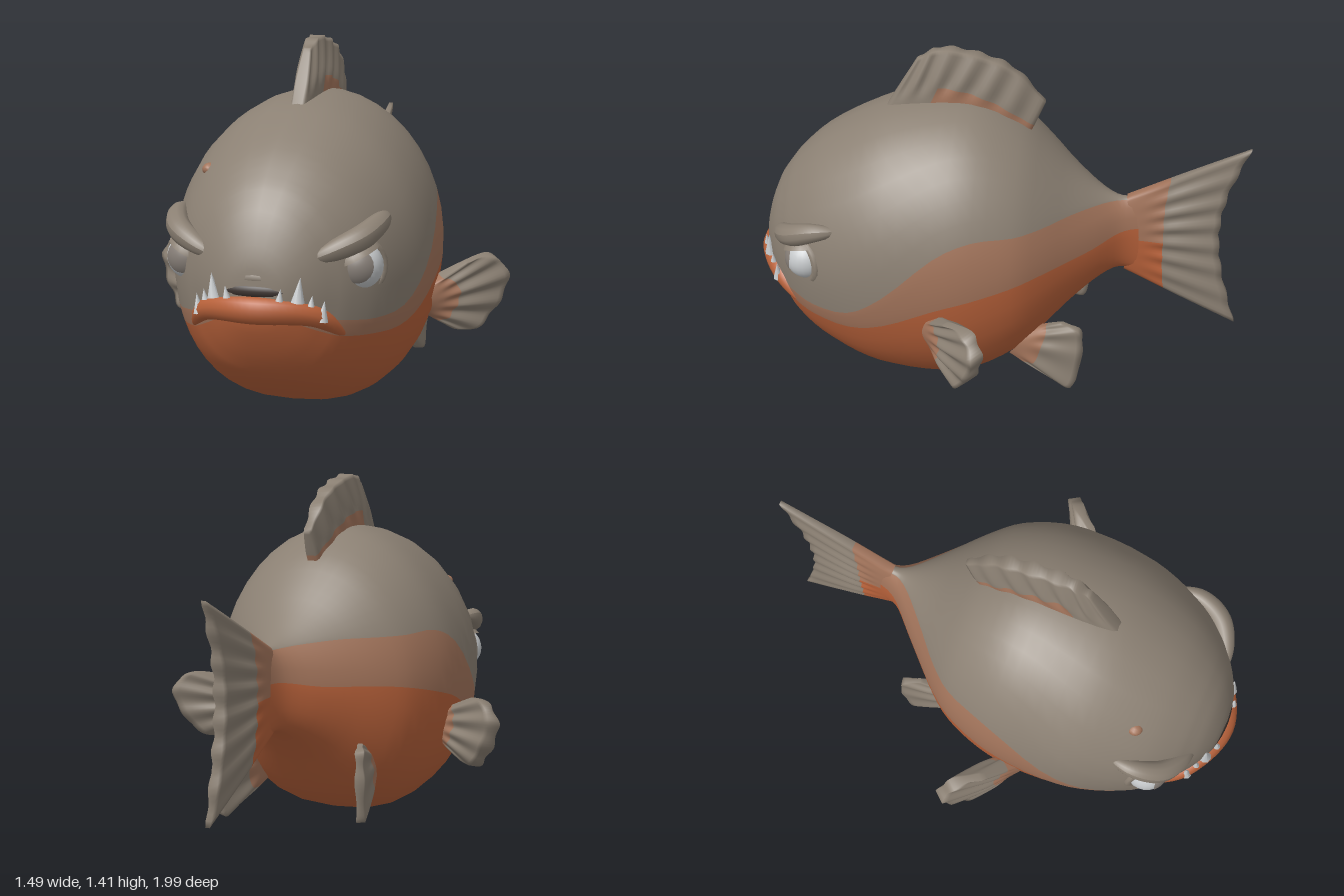
import * as THREE from 'three';

const mat = (name, color) => {
  const m = new THREE.MeshStandardMaterial({ color });
  m.name = name;
  return m;
};
const V = (x, y, z) => new THREE.Vector3(x, y, z);

export function createModel() {
  const grey = mat('stone grey skin', 0x8b8073);
  const band = mat('dusty brown band', 0xa2745b);
  const orange = mat('rust orange belly', 0xb7613a);
  const white = mat('pale tooth and eye', 0xc6c9cb);
  const iris = mat('dull iris', 0x857d76);
  const dark = mat('dark mouth', 0x3b322e);

  const fish = new THREE.Group();
  fish.name = 'fish';
  const add = (name, geo, material, parent = fish) => {
    const m = new THREE.Mesh(geo, material);
    m.name = name;
    parent.add(m);
    return m;
  };

  // Closed loops joined row by row; colourOf(row, column) picks the material slot
  const loft = (rows, colourOf, quad) => {
    const n = rows[0].length, pos = [], lists = [[], [], []];
    rows.forEach(r => r.forEach(p => pos.push(p.x, p.y, p.z)));
    for (let i = 0; i < rows.length - 1; i++) for (let j = 0; j < n; j++) {
      const a = i * n + j, b = i * n + (j + 1) % n;
      lists[colourOf(i, j)].push(...quad(a, b, a + n, b + n));
    }
    return { pos, lists, n };
  };
  const toGeometry = ({ pos, lists }) => {
    const g = new THREE.BufferGeometry();
    g.setAttribute('position', new THREE.Float32BufferAttribute(pos, 3));
    g.setIndex(lists.flat());
    let start = 0;
    lists.forEach((l, k) => { g.addGroup(start, l.length, k); start += l.length; });
    g.computeVertexNormals();
    return g;
  };

  // Body stations, nose to tail: z, top, bottom, half width, belly line, band line
  const stations = [
    [.955, .55, .50, .02, .50, .53], [.945, .66, .42, .11, .46, .50],
    [.90, .79, .325, .20, .42, .46], [.85, .87, .25, .265, .39, .44],
    [.80, .93, .195, .32, .37, .43], [.70, 1.02, .125, .395, .36, .42],
    [.55, 1.11, .05, .458, .36, .44], [.40, 1.17, .01, .492, .41, .55],
    [.20, 1.20, 0, .50, .51, .74], [.05, 1.185, .03, .482, .56, .81],
    [-.10, 1.11, .12, .43, .60, .81], [-.20, 1.02, .22, .36, .62, .81],
    [-.30, .92, .33, .265, .63, .81], [-.40, .84, .42, .165, .64, .80],
    [-.48, .80, .465, .085, .66, .79], [-.54, .80, .465, .05, .67, .79],
    [-.62, .82, .44, .03, .67, .80]];
  const shape = new THREE.CatmullRomCurve3(stations.map(s => V(s[0], s[1], s[2])), false, 'catmullrom');
  const lines = new THREE.CatmullRomCurve3(stations.map(s => V(s[3], s[4], s[5])), false, 'catmullrom');
  const split = [8, 3, 8], half = 19, bodyRows = [];
  for (let i = 0; i <= 48; i++) {
    const { x: z, y: top, z: bottom } = shape.getPoint(i / 48);
    const { x: w, y: y1, z: y2 } = lines.getPoint(i / 48);
    const c = (top + bottom) / 2, h = (top - bottom) / 2;
    const angle = y => Math.asin(THREE.MathUtils.clamp((y - c) / h, -.97, .97));
    const stops = [-Math.PI / 2, angle(y1), angle(y2), Math.PI / 2], angles = [];
    split.forEach((count, k) => {
      for (let s = 0; s < count; s++) angles.push(THREE.MathUtils.lerp(stops[k], stops[k + 1], s / count));
    });
    angles.push(Math.PI / 2);
    // The belly is squarer than the back
    const row = angles.map(a => V(w * Math.max(0, Math.cos(a)) ** (a < 0 ? .75 : 1), c + h * Math.sin(a), z));
    for (let j = half - 1; j > 0; j--) row.push(V(-row[j].x, row[j].y, z));
    bodyRows.push(row);
  }
  const bodyColour = (i, j) => {
    const k = j < half ? j : 2 * half - 1 - j;
    return k < split[0] ? 0 : k < split[0] + split[1] ? 1 : 2;
  };
  const body = loft(bodyRows, bodyColour, (a, b, c, d) => [a, c, b, b, c, d]);
  for (let j = 1; j < body.n - 1; j++) body.lists[0].push(0, j, j + 1);
  add('body', toGeometry(body), [orange, band, grey]);

  // Ribbed fin between a root curve and a tip curve, given as [x, y, z] points.
  // The root is brown from rootFrom and orange from bellyFrom, measured along the curve.
  const fin = (name, base, tip, { thick, rays, root, rootFrom = 0, bellyFrom = 2, side = 1 }) => {
    const curve = pts => new THREE.CatmullRomCurve3(pts.map(p => V(p[0] * side, p[1], p[2])));
    const A = curve(base), B = curve(tip), NU = 44, NV = 14;
    const along = j => (j <= NU ? j : 2 * NU + 1 - j) / NU;
    const n = A.getPoint(1).sub(A.getPoint(0)).cross(B.getPoint(.5).sub(A.getPoint(.5))).normalize();
    const rows = [];
    for (let i = 0; i <= NV; i++) {
      const v = i / NV, row = [];
      for (let j = 0; j < 2 * (NU + 1); j++) {
        const u = along(j), wave = Math.cos(u * rays * Math.PI * 2);
        const rib = 1 + .2 * wave * THREE.MathUtils.smoothstep(v, .1, .5);
        const t = thick * (1 - .5 * v * v) * (.3 + .5 * Math.sqrt(Math.sin(Math.PI * u) + 1e-9)) * rib;
        const p = A.getPoint(u).lerp(B.getPoint(u), v + .01 * v * wave);
        row.push(p.addScaledVector(n, j <= NU ? t : -t));
      }
      rows.push(row);
    }
    const colourOf = (i, j) => i / NV >= root || along(j) < rootFrom ? 0 : along(j) < bellyFrom ? 1 : 2;
    const f = loft(rows, colourOf, (a, b, c, d) => [a, b, c, b, d, c]);
    const s = NV * f.n, last = f.n - 1;
    for (let j = 0; j < NU; j++)
      f.lists[0].push(s + j, s + j + 1, s + last - j, s + j + 1, s + last - j - 1, s + last - j);
    return add(name, toGeometry(f), [grey, band, orange]);
  };

  fin('dorsalFin', [[0, 1.14, .45], [0, 1.17, .2], [0, 1.05, -.12]],
    [[0, 1.355, .32], [0, 1.4, .23], [0, 1.385, .08], [0, 1.33, -.06], [0, 1.2, -.185]],
    { thick: .062, rays: 6, root: .34, rootFrom: .35 });
  fin('tailFin', [[0, .80, -.52], [0, .64, -.55], [0, .46, -.52]],
    [[0, 1.04, -.99], [0, .83, -.915], [0, .65, -.895], [0, .46, -.92], [0, .23, -.985]],
    { thick: .05, rays: 7, root: .3, bellyFrom: .55 });
  for (const side of [1, -1]) {
    const label = side > 0 ? 'left' : 'right';
    fin(label + 'PectoralFin', [[.45, .45, .22], [.45, .39, .2], [.44, .33, .19]],
      [[.59, .53, .13], [.65, .547, .05], [.7, .52, .005], [.725, .46, -.01], [.7, .38, .01],
        [.66, .31, .04], [.61, .26, .09], [.54, .265, .14]],
      { thick: .062, rays: 5, root: .3, side });
    const pelvic = fin(label + 'PelvicFin', [[.25, .31, -.2], [.25, .23, -.13], [.24, .16, -.08]],
      [[.28, .355, -.29], [.31, .34, -.365], [.315, .23, -.375], [.305, .055, -.335], [.28, .09, -.23]],
      { thick: .04, rays: 4, root: .3, side });
    if (side < 0) pelvic.position.y = .05;
  }

  // Tube that thins toward both ends
  const taperedTube = (name, pts, r, material) => {
    const path = new THREE.CatmullRomCurve3(pts), segments = 32, radial = 12;
    const g = new THREE.TubeGeometry(path, segments, r, radial), pos = g.attributes.position;
    for (let i = 0; i < pos.count; i++) {
      const u = Math.floor(i / (radial + 1)) / segments;
      const p = V(0, 0, 0).fromBufferAttribute(pos, i);
      p.lerp(path.getPointAt(u), 1 - Math.sqrt(Math.max(.01, Math.sin(Math.PI * u))));
      pos.setXYZ(i, p.x, p.y, p.z);
    }
    g.computeVertexNormals();
    return add(name, g, material);
  };

  // Mouth: jutting lower lip, dark gap and upper lip
  const arc = (end, mid, centre) => [V(-end[0], end[1], end[2]), V(-mid[0], mid[1], mid[2]),
    V(...centre), V(...mid), V(...end)];
  taperedTube('lowerLip', arc([.29, .37, .78], [.2, .455, .875], [0, .478, .945]), .051, orange);
  taperedTube('mouthGap', arc([.2, .52, .87], [.12, .54, .915], [0, .545, .932]), .03, dark);
  taperedTube('upperLip', arc([.29, .42, .775], [.2, .54, .865], [0, .592, .925]), .03, grey);

  // Teeth, eyes and brows on both sides
  for (const side of [1, -1]) {
    const label = side > 0 ? 'left' : 'right';
    for (const [x, y, z, h, r] of [[.16, .555, .925, .09, .026], [.235, .475, .88, .075, .022],
      [.1, .54, .955, .045, .014], [.2, .515, .905, .04, .013]]) {
      const tooth = add(label + 'Tooth', new THREE.ConeGeometry(r, h, 8), white);
      tooth.position.set(side * x, y, z);
      tooth.rotation.z = side * -.12;
    }
    const eye = new THREE.Group();
    eye.name = label + 'Eye';
    eye.position.set(side * .322, .615, .725);
    fish.add(eye);
    add('eyeball', new THREE.SphereGeometry(.087, 24, 16), white, eye);
    const pupil = add('iris', new THREE.SphereGeometry(.09, 20, 6, 0, Math.PI * 2, 0, .75), iris, eye);
    pupil.rotation.set(Math.PI / 2 - .12, 0, side * -.12);
    const rim = add('eyeRim', new THREE.TorusGeometry(.087, .02, 8, 24), grey, eye);
    rim.rotation.y = side * .8;
    rim.position.set(side * .012, -.005, .01);
    const lid = add('upperLid', new THREE.SphereGeometry(.1, 24, 8, 0, Math.PI * 2, 0, 1.25), grey, eye);
    lid.rotation.set(.12, 0, side * .45);
    taperedTube(label + 'Brow', [V(side * .17, .645, .865), V(side * .26, .683, .835),
      V(side * .345, .725, .775), V(side * .385, .765, .68), V(side * .385, .78, .58)], .045, grey);
  }

  // Small brown spot on the forehead
  const spot = add('foreheadSpot', new THREE.SphereGeometry(.03, 12, 8), band);
  spot.scale.y = .8;
  spot.position.set(-.278, .925, .632);
  return fish;
}
